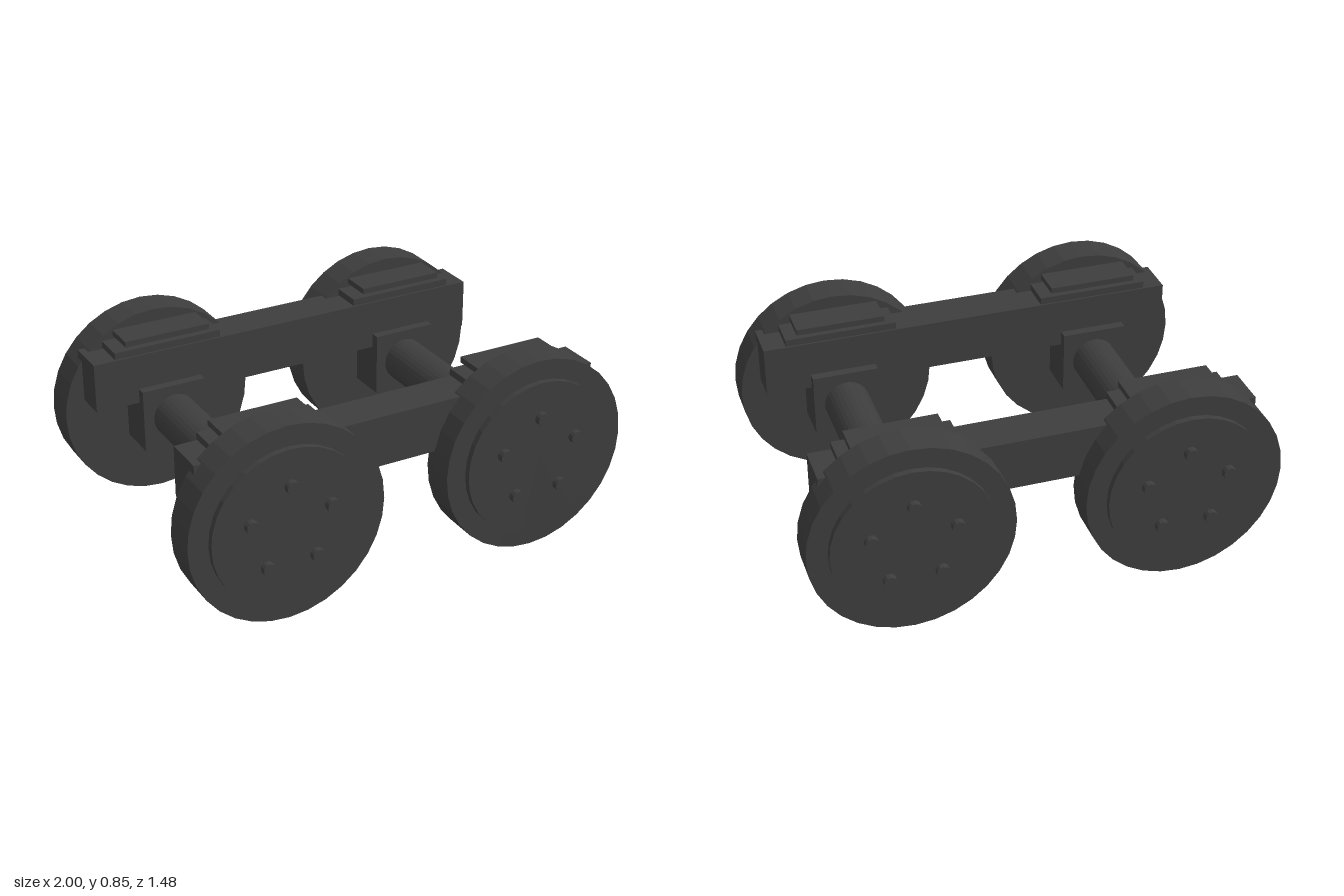
import * as THREE from 'three';

export function createModel() {
  const model = new THREE.Group();
  model.name = 'railBogie';

  const iron = new THREE.MeshStandardMaterial({ color: 0x3d3d3d, flatShading: true });
  iron.name = 'dark iron';

  const AXLE_X = 0.573, AXLE_Y = 0.427;

  // Box given by its extents along each axis
  function box(name, parent, [x0, x1], [y0, y1], [z0, z1]) {
    const mesh = new THREE.Mesh(new THREE.BoxGeometry(x1 - x0, y1 - y0, z1 - z0), iron);
    mesh.position.set((x0 + x1) / 2, (y0 + y1) / 2, (z0 + z1) / 2);
    mesh.name = name;
    parent.add(mesh);
  }

  // Cylinder lying along z from z0 to z1
  function disc(name, parent, radius, x, y, z0, z1, sides) {
    const geometry = new THREE.CylinderGeometry(radius, radius, z1 - z0, sides);
    geometry.rotateX(Math.PI / 2);
    const mesh = new THREE.Mesh(geometry, iron);
    mesh.position.set(x, y, (z0 + z1) / 2);
    mesh.name = name;
    parent.add(mesh);
  }

  // Everything on one side: frame beam, axle boxes, springs and wheels
  function buildSide(name) {
    const side = new THREE.Group();
    side.name = name;
    box('sideFrame', side, [-0.912, 0.912], [0.503, 0.722], [0.398, 0.578]);

    for (const x of [-AXLE_X, AXLE_X]) {
      box('axleBox', side, [x - 0.144, x + 0.144], [0.287, 0.568], [0.357, 0.56]);

      // Spring leaves, stacked with a gap
      box('lowerSpringLeaf', side, [x - 0.243, x + 0.243], [0.727, 0.757], [0.398, 0.578]);
      box('upperSpringLeaf', side, [x - 0.193, x + 0.193], [0.773, 0.798], [0.398, 0.578]);

      // Wheel with raised face and a ring of five bolts
      const wheel = new THREE.Group();
      wheel.name = 'wheel';
      wheel.position.set(x, AXLE_Y, 0);
      disc('wheelRim', wheel, 0.427, 0, 0, 0.537, 0.685, 32);
      disc('wheelFace', wheel, 0.34, 0, 0, 0.68, 0.711, 32);
      for (let i = 0; i < 5; i++) {
        const a = Math.PI / 2 + (i * Math.PI * 2) / 5;
        disc('wheelBolt', wheel, 0.028, 0.183 * Math.cos(a), 0.183 * Math.sin(a), 0.705, 0.738, 12);
      }
      side.add(wheel);
    }
    return side;
  }

  const front = buildSide('frontSide');
  const back = buildSide('backSide');
  back.rotation.y = Math.PI;
  model.add(front, back);

  // Axles joining the two sides
  for (const x of [-AXLE_X, AXLE_X]) {
    disc('axle', model, 0.098, x, AXLE_Y, -0.54, 0.54, 32);
  }
  return model;
}
